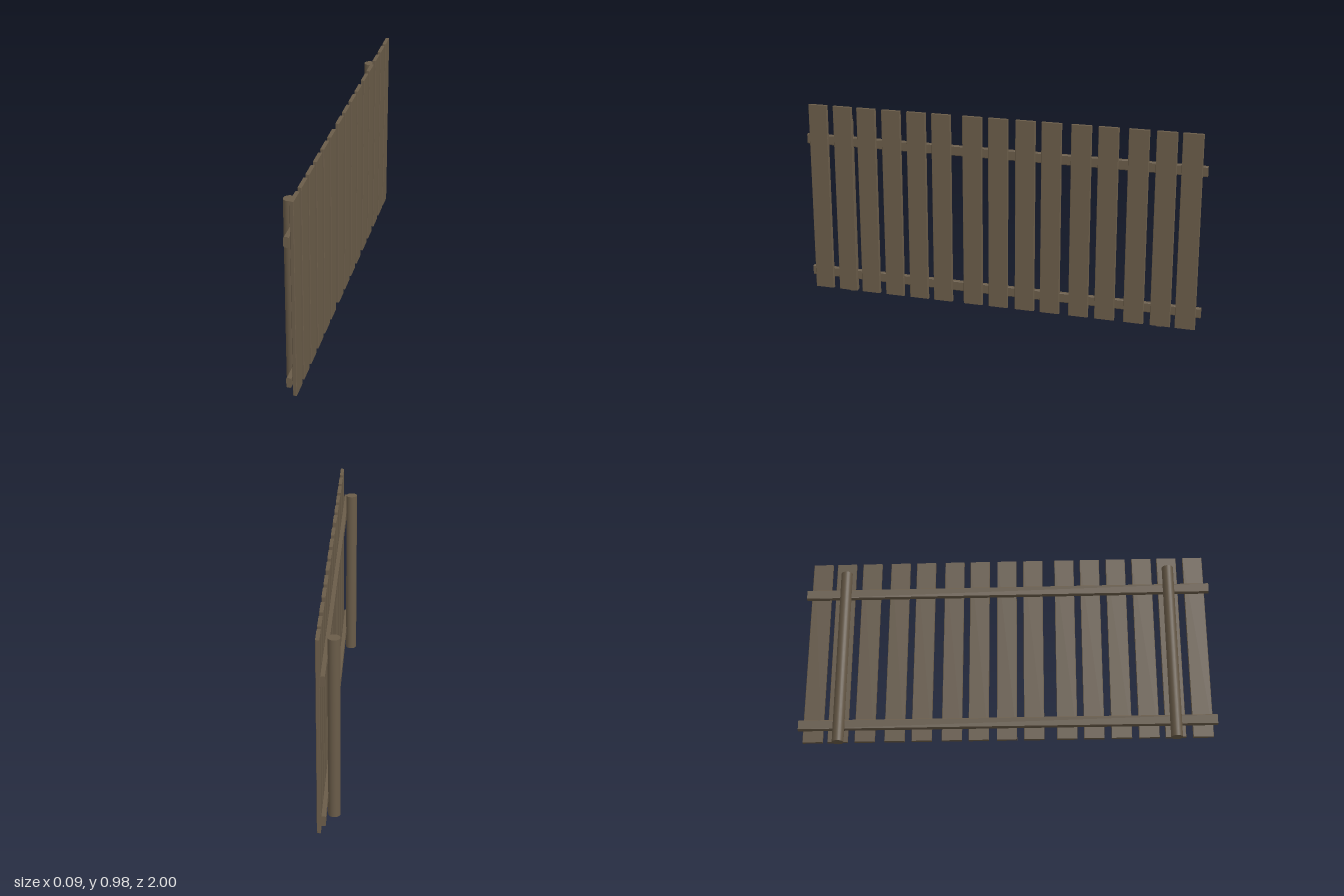
import * as THREE from 'three';

// Bar with chamfered long edges: section w (x) by h (y), running along z, centred
function chamferedBar(w, h, length, c) {
  const x = w / 2, y = h / 2;
  const section = new THREE.Shape([
    [-x + c, -y], [x - c, -y], [x, -y + c], [x, y - c],
    [x - c, y], [-x + c, y], [-x, y - c], [-x, -y + c],
  ].map(([a, b]) => new THREE.Vector2(a, b)));
  return new THREE.ExtrudeGeometry(section, { depth: length, bevelEnabled: false })
    .translate(0, 0, -length / 2);
}

export function createModel() {
  const fence = new THREE.Group();
  fence.name = 'fence';
  const wood = new THREE.MeshStandardMaterial({ color: 0x6a5c49 });
  wood.name = 'weathered wood';

  const add = (name, geometry, x, y, z) => {
    const mesh = new THREE.Mesh(geometry, wood);
    mesh.name = name;
    mesh.position.set(x, y, z);
    fence.add(mesh);
  };

  // Vertical planks, slightly unevenly spaced
  const plank = chamferedBar(0.018, 0.097, 0.96, 0.002).rotateX(-Math.PI / 2);
  const plankZ = [0.93, 0.80, 0.675, 0.545, 0.415, 0.287, 0.13, 0,
    -0.135, -0.263, -0.407, -0.537, -0.68, -0.81, -0.93];
  plankZ.forEach((z, i) => add(`plank${i + 1}`, plank, 0.038, 0.5, z));

  // Horizontal rails behind the planks
  const rail = chamferedBar(0.023, 0.05, 2, 0.004);
  add('lowerRail', rail, 0.0175, 0.1, 0);
  add('upperRail', rail, 0.0175, 0.8, 0);

  // Round posts behind the rails
  const post = new THREE.CylinderGeometry(0.028, 0.028, 0.9, 24);
  add('frontPost', post, -0.02, 0.45, 0.8);
  add('backPost', post, -0.02, 0.45, -0.8);

  return fence;
}
